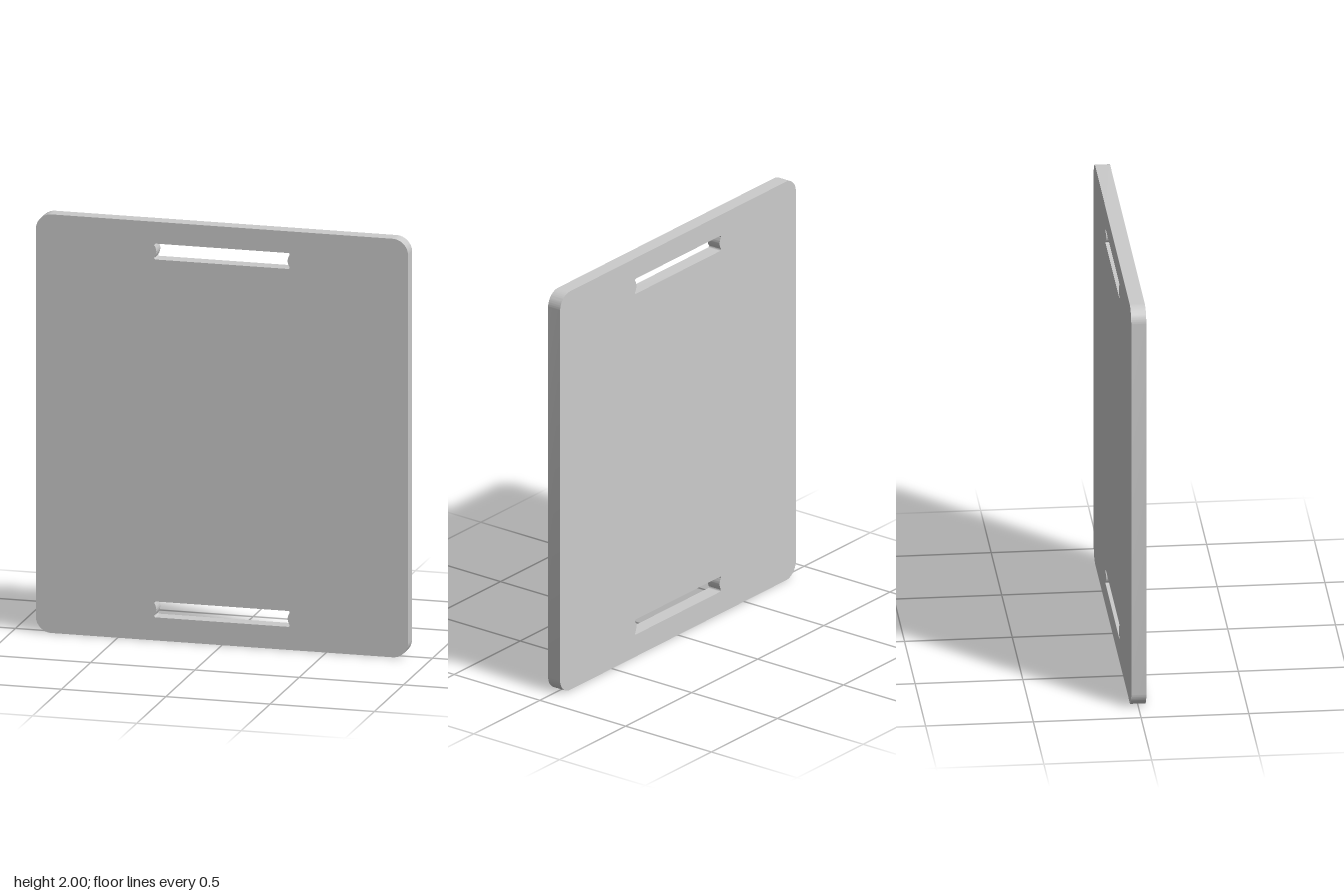
import * as THREE from 'three';
import { toCreasedNormals } from 'three/addons/utils/BufferGeometryUtils.js';

const WIDTH = 1.785, HEIGHT = 2, DEPTH = 0.07, RADIUS = 0.075;

// Rounded outline standing on y = 0
function plateOutline() {
  const w = WIDTH / 2, r = RADIUS, h = HEIGHT, q = Math.PI / 2;
  const s = new THREE.Shape();
  s.moveTo(-w + r, 0);
  s.absarc(w - r, r, r, -q, 0);
  s.absarc(w - r, h - r, r, 0, q);
  s.absarc(-w + r, h - r, r, q, 2 * q);
  s.absarc(-w + r, r, r, 2 * q, 3 * q);
  return s;
}

// Strap slot: long opening whose ends bow inward between small rounded corners
function slot(cy) {
  const w = 0.325, h = 0.038, c = 0.008, bow = 0.02;
  const p = new THREE.Path();
  p.moveTo(-w + c, cy - h);
  p.lineTo(w - c, cy - h);
  p.quadraticCurveTo(w, cy - h, w, cy - h + c);
  p.quadraticCurveTo(w - bow, cy, w, cy + h - c);
  p.quadraticCurveTo(w, cy + h, w - c, cy + h);
  p.lineTo(-w + c, cy + h);
  p.quadraticCurveTo(-w, cy + h, -w, cy + h - c);
  p.quadraticCurveTo(-w + bow, cy, -w, cy - h + c);
  p.quadraticCurveTo(-w, cy - h, -w + c, cy - h);
  return p;
}

export function createModel() {
  const shape = plateOutline();
  for (const cy of [0.148, 1.858]) shape.holes.push(slot(cy));

  const geometry = new THREE.ExtrudeGeometry(shape, { depth: DEPTH, bevelEnabled: false, curveSegments: 12 });
  geometry.translate(0, 0, -DEPTH / 2);

  const plate = new THREE.Mesh(
    toCreasedNormals(geometry, Math.PI / 6),
    new THREE.MeshStandardMaterial({ color: 0xcccccc })
  );
  plate.name = 'slottedPlate';

  const group = new THREE.Group();
  group.name = 'plate';
  group.add(plate);
  return group;
}
